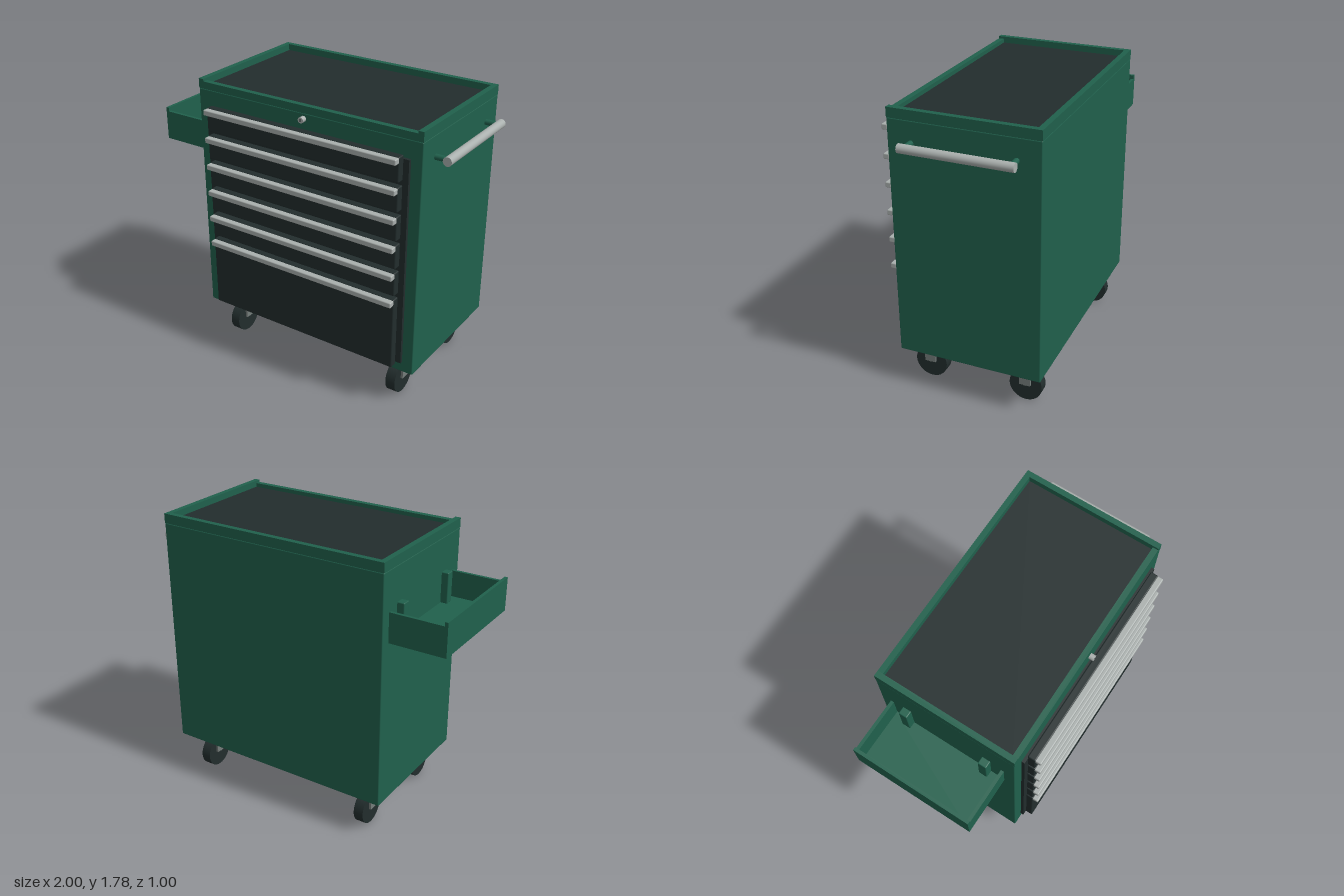
import * as THREE from 'three';
import { RoundedBoxGeometry } from 'three/addons/geometries/RoundedBoxGeometry.js';

function material(name, color) {
  const m = new THREE.MeshStandardMaterial({ color });
  m.name = name;
  return m;
}

export function createModel() {
  const green = material('green paint', 0x20604c);
  const dark = material('dark panel', 0x222d2d);
  const silver = material('silver trim', 0xaab0ae);
  const steel = material('caster steel', 0x757d7b);

  const model = new THREE.Group();
  model.name = 'toolCart';

  function add(name, geometry, mat, parent = model) {
    const mesh = new THREE.Mesh(geometry, mat);
    mesh.name = name;
    parent.add(mesh);
    return mesh;
  }
  // Box given by its lower and upper bounds; r rounds the edges
  function box(name, mat, [x0, x1], [y0, y1], [z0, z1], parent = model, r = 0) {
    const size = [x1 - x0, y1 - y0, z1 - z0];
    const geometry = r ? new RoundedBoxGeometry(...size, 2, r) : new THREE.BoxGeometry(...size);
    const mesh = add(name, geometry, mat, parent);
    mesh.position.set((x0 + x1) / 2, (y0 + y1) / 2, (z0 + z1) / 2);
    return mesh;
  }
  function cylinder(name, mat, radius, length, axis, position, parent = model) {
    const geometry = new THREE.CylinderGeometry(radius, radius, length, 32);
    if (axis === 'x') geometry.rotateZ(Math.PI / 2);
    if (axis === 'z') geometry.rotateX(Math.PI / 2);
    const mesh = add(name, geometry, mat, parent);
    mesh.position.set(...position);
    return mesh;
  }
  function group(name) {
    const g = new THREE.Group();
    g.name = name;
    model.add(g);
    return g;
  }

  // Cabinet and the tray rim around its top, with a lower lip in front
  const X = [-0.645, 0.885], Z = [-0.5, 0.4], t = 0.035;
  box('cabinet', green, X, [0.245, 1.725], Z, model, 0.006);
  const top = group('topTray');
  box('rimRight', green, [X[0], X[0] + t], [1.725, 1.785], Z, top);
  box('rimLeft', green, [X[1] - t, X[1]], [1.725, 1.785], Z, top);
  box('rimBack', green, [X[0] + t, X[1] - t], [1.725, 1.785], [Z[0], Z[0] + t], top);
  box('rimFront', green, [X[0] + t, X[1] - t], [1.725, 1.77], [Z[1] - t, Z[1]], top);
  box('topMat', dark, [X[0] + t, X[1] - t], [1.725, 1.745], [Z[0] + t, Z[1] - t], top);

  // Drawer fronts with full-width pulls
  box('drawerFrame', dark, [-0.575, 0.815], [0.315, 1.617], [0.39, 0.42]);
  const drawers = group('drawers');
  const tops = [1.64, 1.463, 1.287, 1.111, 0.935, 0.76];
  tops.forEach((y, i) => {
    const bottom = i === 5 ? 0.295 : y - 0.15;
    box('drawerFront', dark, [-0.54, 0.78], [bottom, y], [0.415, 0.465], drawers, 0.008);
    box('drawerPull', silver, [-0.538, 0.778], [y - 0.038, y - 0.003], [0.46, 0.5], drawers, 0.007);
  });

  // Lock
  const lock = group('lock');
  cylinder('lockBarrel', silver, 0.018, 0.03, 'z', [0.12, 1.692, 0.415], lock);
  box('keyhole', dark, [0.117, 0.123], [1.683, 1.701], [0.428, 0.432], lock);

  // Push handle on the left side
  const handle = group('pushHandle');
  cylinder('handleBar', silver, 0.027, 0.675, 'z', [0.97, 1.597, -0.05], handle);
  for (const z of [-0.358, 0.257])
    cylinder('handlePost', green, 0.017, 0.08, 'x', [0.92, 1.597, z], handle);

  // Hanging side tray on the right side
  const tray = group('sideTray');
  const w = 0.02, tx = [-1, -0.645], tz = [-0.435, 0.33];
  box('trayFloor', green, tx, [1.295, 1.315], tz, tray);
  box('trayOuterWall', green, [-1, -1 + w], [1.295, 1.505], tz, tray);
  box('trayBackWall', green, [-1 + w, tx[1]], [1.315, 1.48], [tz[0], tz[0] + w], tray);
  box('trayFrontWall', green, [-1 + w, tx[1]], [1.315, 1.48], [tz[1] - w, tz[1]], tray);
  for (const z of [-0.32, 0.213])
    box('trayHook', green, [-0.69, -0.64], [1.315, 1.51], [z - 0.028, z + 0.028], tray, 0.006);

  // Casters
  for (const x of [-0.483, 0.722]) for (const z of [0.267, -0.358]) {
    const caster = group('caster');
    caster.position.set(x, 0, z);
    box('mountPlate', steel, [-0.053, 0.053], [0.231, 0.246], [-0.053, 0.053], caster);
    box('forkCrown', steel, [-0.05, 0.05], [0.22, 0.232], [-0.035, 0.035], caster);
    for (const s of [-1, 1])
      box('forkArm', steel, [s * 0.043 - 0.007, s * 0.043 + 0.007], [0.112, 0.225], [-0.035, 0.035], caster);
    cylinder('wheel', dark, 0.103, 0.064, 'x', [0, 0.103, 0], caster);
    cylinder('axle', steel, 0.02, 0.09, 'x', [0, 0.125, 0], caster);
  }
  return model;
}
